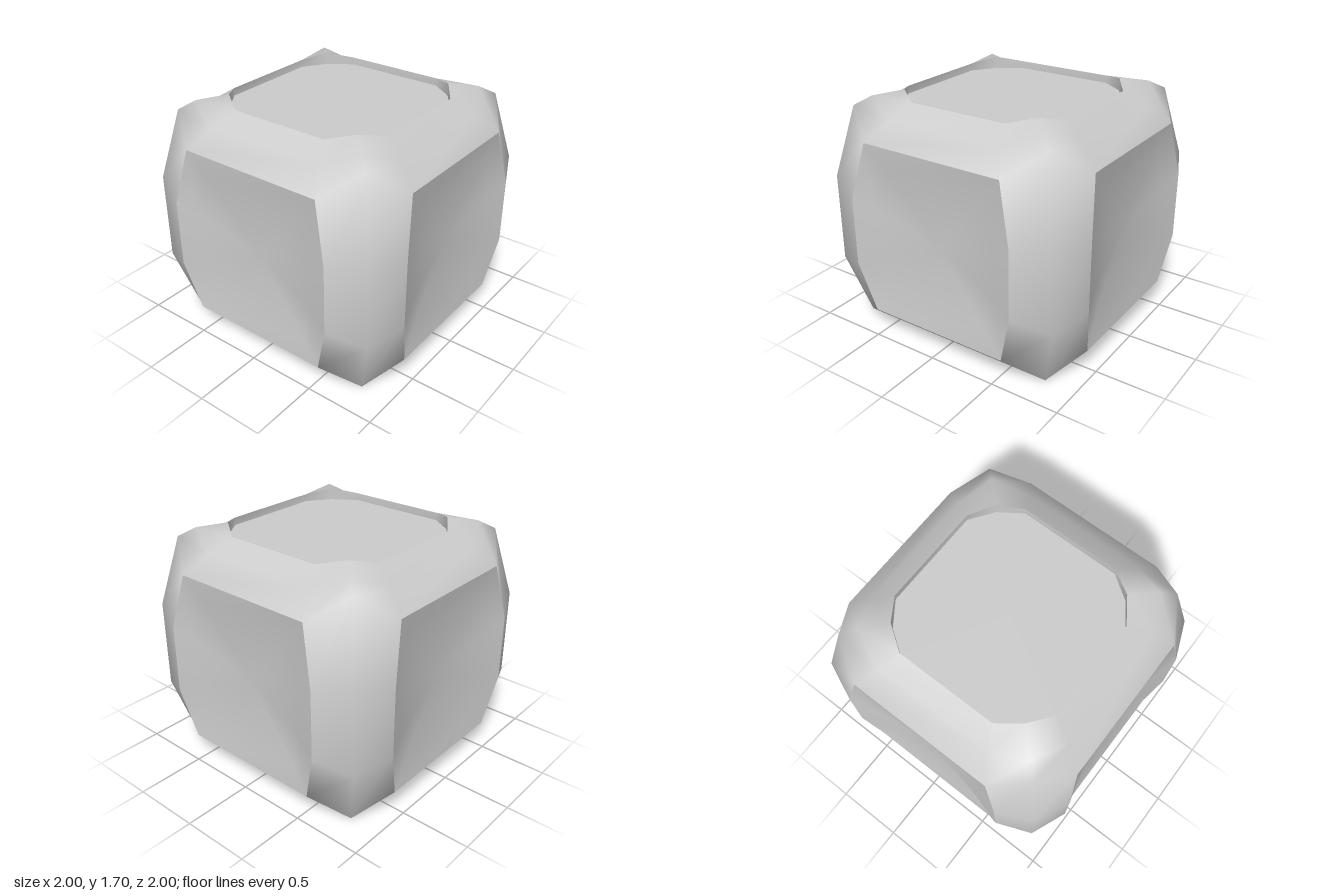
import * as THREE from 'three';
import { mergeVertices } from 'three/addons/utils/BufferGeometryUtils.js';

// Join closed loops of points into a smooth surface; skip(row, col) leaves openings.
function loft(loops, skip = () => false) {
  const n = loops[0].length, index = [];
  for (let i = 0; i < loops.length - 1; i++) {
    for (let j = 0; j < n; j++) {
      if (skip(i, j)) continue;
      const a = i * n + j, b = i * n + (j + 1) % n;
      index.push(a, b, b + n, a, b + n, a + n);
    }
  }
  let geo = new THREE.BufferGeometry();
  geo.setAttribute('position', new THREE.Float32BufferAttribute(loops.flat(2), 3));
  geo.setIndex(index);
  geo = mergeVertices(geo, 1e-4);
  geo.computeVertexNormals();
  return geo;
}

// Four-fold symmetric loop: side point (x, y, z) with its mirror, and corner point (c, cy, c).
function ring([x, y, z], [c, cy]) {
  const pts = [];
  for (let q = 0; q < 4; q++) {
    for (const p of [[x, y, z], [c, cy, c], [z, y, x]]) {
      let [px, py, pz] = p;
      for (let k = 0; k < q; k++) [px, pz] = [pz, -px];
      pts.push([px, py, pz]);
    }
  }
  return pts;
}

export function createModel() {
  const group = new THREE.Group();
  const material = new THREE.MeshStandardMaterial({ color: 0xcccccc, side: THREE.DoubleSide });
  const add = (name, geo) => {
    const mesh = new THREE.Mesh(geo, material);
    mesh.name = name;
    group.add(mesh);
    return mesh;
  };

  // Outline of the side openings, right half, bottom to top
  const edge = [[0.54, 0.17, 0.95], [0.64, 0.54, 1], [0.64, 1.03, 1], [0.54, 1.44, 0.95]];

  // Rounded block with four side openings and an opening in the top
  const foot = ring([0.54, 0, 0.77], [0.77, 0]);
  const rim = ring([0.37, 1.665, 0.65], [0.535, 1.7]);
  const shell = [
    foot,
    ring(edge[0], [0.77, 0]),
    ring(edge[1], [0.89, 0.466]),
    ring(edge[2], [0.89, 1.105]),
    ring(edge[3], [0.78, 1.61]),
    ring([0.45, 1.565, 0.8], [0.69, 1.67]),
    rim,
  ];
  add('body', loft(shell, (i, j) => i >= 1 && i <= 3 && j % 3 === 2));

  // Flat underside
  add('underside', loft([foot.map(() => [0, 0, 0]), foot]));

  // Recess in the top: upright wall and flat floor
  const floor = rim.map(([x, , z]) => [x, 1.61, z]);
  add('topRecessWall', loft([rim, floor]));
  add('topRecessFloor', loft([floor, floor.map(() => [0, 1.61, 0])]));

  // Shallow dished panels on the four sides
  const outline = [...edge, ...edge.map(([x, y, z]) => [-x, y, z]).reverse()];
  const cy = 0.8, depth = 0.89;
  const dish = loft([1, 0.75, 0.5, 0.25, 0].map((t) =>
    outline.map(([x, y, z]) => [x * t, cy + (y - cy) * t, depth + (z - depth) * t * t])));
  ['frontPanel', 'leftPanel', 'backPanel', 'rightPanel'].forEach((name, k) => {
    add(name, dish).rotation.y = k * Math.PI / 2;
  });

  return group;
}
